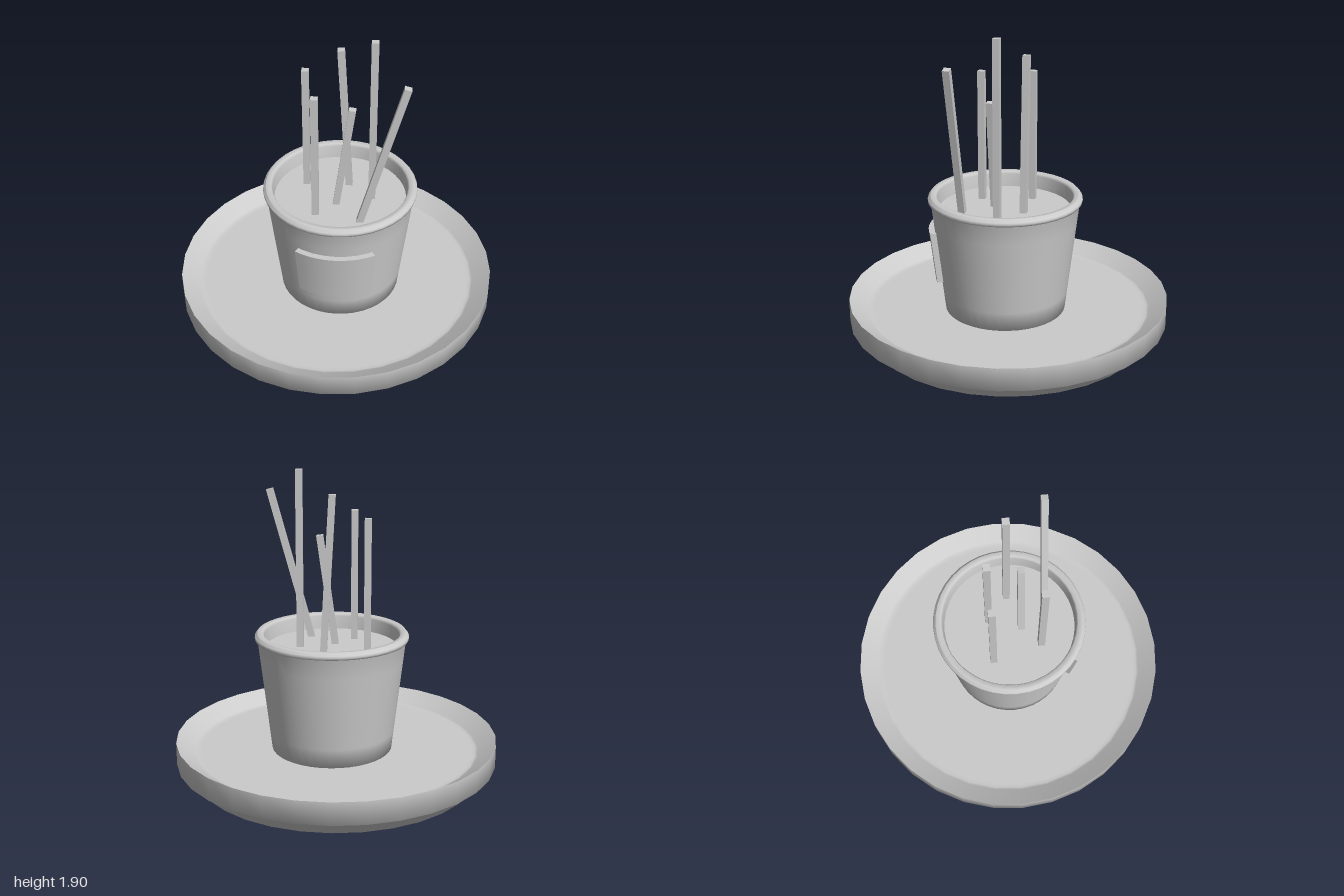
import * as THREE from 'three';

const material = new THREE.MeshStandardMaterial({ color: 0xcccccc });
const CUP_X = 0.027, CUP_Z = 0.012;
const PLATE_FLOOR = 0.16, PLATE_RECESS = 0.018, FILLING = 0.81;

function addMesh(parent, name, geometry, x = 0, y = 0, z = 0) {
  const mesh = new THREE.Mesh(geometry, material);
  mesh.name = name;
  mesh.position.set(x, y, z);
  parent.add(mesh);
  return mesh;
}

// Profile points run from the bottom, up the outside and then inwards.
function lathe(profile, segments) {
  return new THREE.LatheGeometry(profile.map(([r, y]) => new THREE.Vector2(r, y)), segments);
}

function disc(radius, segments, up) {
  return new THREE.CircleGeometry(radius, segments).rotateX(up ? -Math.PI / 2 : Math.PI / 2);
}

// Radius of the tapered cup wall at height y
const wallRadius = (y) => 0.379 + (y - 0.18) * 0.115;

// Label: a box wrapped around the cup wall
function labelGeometry() {
  const geometry = new THREE.BoxGeometry(1, 1, 1, 10, 1, 1);
  const p = geometry.attributes.position;
  for (let i = 0; i < p.count; i++) {
    const angle = p.getX(i) * THREE.MathUtils.degToRad(61);
    const y = 0.523 + p.getY(i) * 0.326;
    const r = wallRadius(y) + (p.getZ(i) > 0 ? 0.036 : -0.005);
    p.setXYZ(i, r * Math.sin(angle), y, r * Math.cos(angle));
  }
  geometry.computeVertexNormals();
  return geometry;
}

export function createModel() {
  const model = new THREE.Group();
  model.name = 'cupWithSticks';

  // Plate with a foot ring under a shallow recess, and a sloping rim
  const plate = new THREE.Group();
  plate.name = 'plate';
  model.add(plate);
  addMesh(plate, 'plateBody', lathe([
    [0.833, PLATE_RECESS], [0.835, 0], [0.888, 0], [0.89, 0.05], [1, 0.1], [1, 0.24],
  ], 32));
  addMesh(plate, 'plateRim', lathe([
    [1, 0.24], [0.89, PLATE_FLOOR + 0.006], [0.875, PLATE_FLOOR], [0.85, PLATE_FLOOR],
  ], 32));
  addMesh(plate, 'plateFloor', disc(0.85, 32, true), 0, PLATE_FLOOR, 0);
  addMesh(plate, 'plateBase', disc(0.833, 32, false), 0, PLATE_RECESS, 0);

  // Tapered cup with a stepped lip
  const cup = new THREE.Group();
  cup.name = 'cup';
  cup.position.set(CUP_X, 0, CUP_Z);
  model.add(cup);
  addMesh(cup, 'cupBody', lathe([
    [0.3, PLATE_FLOOR], [wallRadius(PLATE_FLOOR), PLATE_FLOOR], [wallRadius(0.28), 0.28],
    [wallRadius(0.74), 0.74], [wallRadius(0.864), 0.864], [0.472, 0.867], [0.475, 0.88],
    [0.472, 0.892], [0.46, 0.896], [0.457, 0.91], [0.425, 0.906], [0.416, 0.89], [0.408, FILLING],
  ], 40));
  addMesh(cup, 'cupFilling', disc(0.408, 40, true), 0, FILLING, 0);
  addMesh(cup, 'label', labelGeometry());

  // Sticks: base x, top x, top y, z
  const sticks = new THREE.Group();
  sticks.name = 'sticks';
  model.add(sticks);
  const baseY = FILLING - 0.005;
  [
    [-0.191, -0.191, 1.63, -0.108],
    [-0.109, -0.109, 1.63, 0.197],
    [0.222, 0.222, 1.9, 0.01],
    [0.074, 0.02, 1.77, -0.116],
    [0.008, 0.103, 1.493, 0.084],
    [0.163, 0.418, 1.75, 0.246],
  ].forEach(([x0, x1, topY, z]) => {
    const dx = x1 - x0, dy = topY - baseY;
    const stick = addMesh(sticks, 'stick', new THREE.BoxGeometry(0.042, Math.hypot(dx, dy), 0.042),
      (x0 + x1) / 2, (baseY + topY) / 2, z);
    stick.rotation.z = -Math.atan2(dx, dy);
  });

  return model;
}
